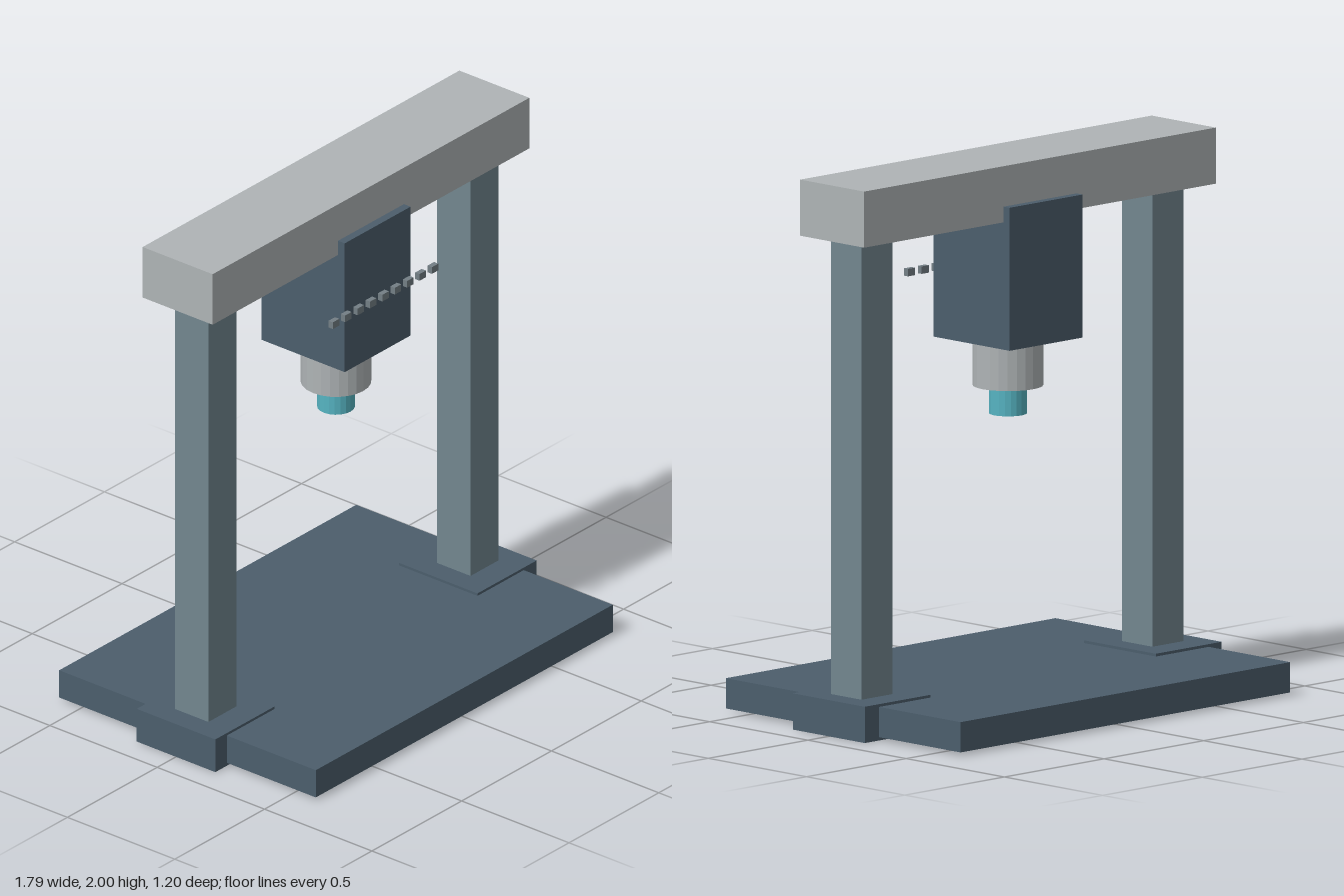
import * as THREE from 'three';

function mat(name, color) {
  const m = new THREE.MeshStandardMaterial({ color });
  m.name = name;
  return m;
}

export function createModel() {
  const darkSteel = mat('dark blue steel', 0x4c5e6c);
  const columnSteel = mat('column grey', 0x72868f);
  const lightMetal = mat('light metal', 0xafb4b6);
  const teal = mat('teal tip', 0x56b4c2);
  const linkGrey = mat('link grey', 0x747f85);

  const model = new THREE.Group();
  model.name = 'gantryMachine';
  const cx = -0.004; // slight offset of the centre parts

  function add(name, geometry, material, x, y, z = 0) {
    const mesh = new THREE.Mesh(geometry, material);
    mesh.name = name;
    mesh.position.set(x, y, z);
    model.add(mesh);
  }
  // Box between two heights
  function box(name, material, w, y0, y1, d, x, z = 0) {
    add(name, new THREE.BoxGeometry(w, y1 - y0, d), material, x, (y0 + y1) / 2, z);
  }
  // Faceted upright cylinder between two heights
  function drum(name, material, r, y0, y1, sides) {
    const g = new THREE.CylinderGeometry(r, r, y1 - y0, sides).toNonIndexed();
    g.computeVertexNormals();
    add(name, g, material, cx, (y0 + y1) / 2);
  }

  // Base plate
  box('basePlate', darkSteel, 1.654, 0.012, 0.122, 1.195, cx);

  // Feet and columns on both sides
  for (const [side, s] of [['left', 1], ['right', -1]]) {
    box(side + 'Foot', darkSteel, 0.33, 0, 0.132, 0.366, s * 0.73);
    box(side + 'Column', columnSteel, 0.156, 0.13, 1.797, 0.156, s * 0.73);
  }

  // Crossbeam
  box('crossbeam', lightMetal, 1.764, 1.796, 2, 0.326, cx);

  // Spindle head, collar and tip
  box('spindleHead', darkSteel, 0.367, 1.333, 1.853, 0.388, cx);
  drum('spindleCollar', lightMetal, 0.127, 1.16, 1.333, 24);
  drum('spindleTip', teal, 0.068, 1.057, 1.16, 20);

  // Row of cable links in front of the head
  for (let i = -4; i <= 4; i++) {
    box('cableLink', linkGrey, 0.036, 1.564, 1.591, 0.02, cx + i * 0.069, 0.221);
  }
  return model;
}
